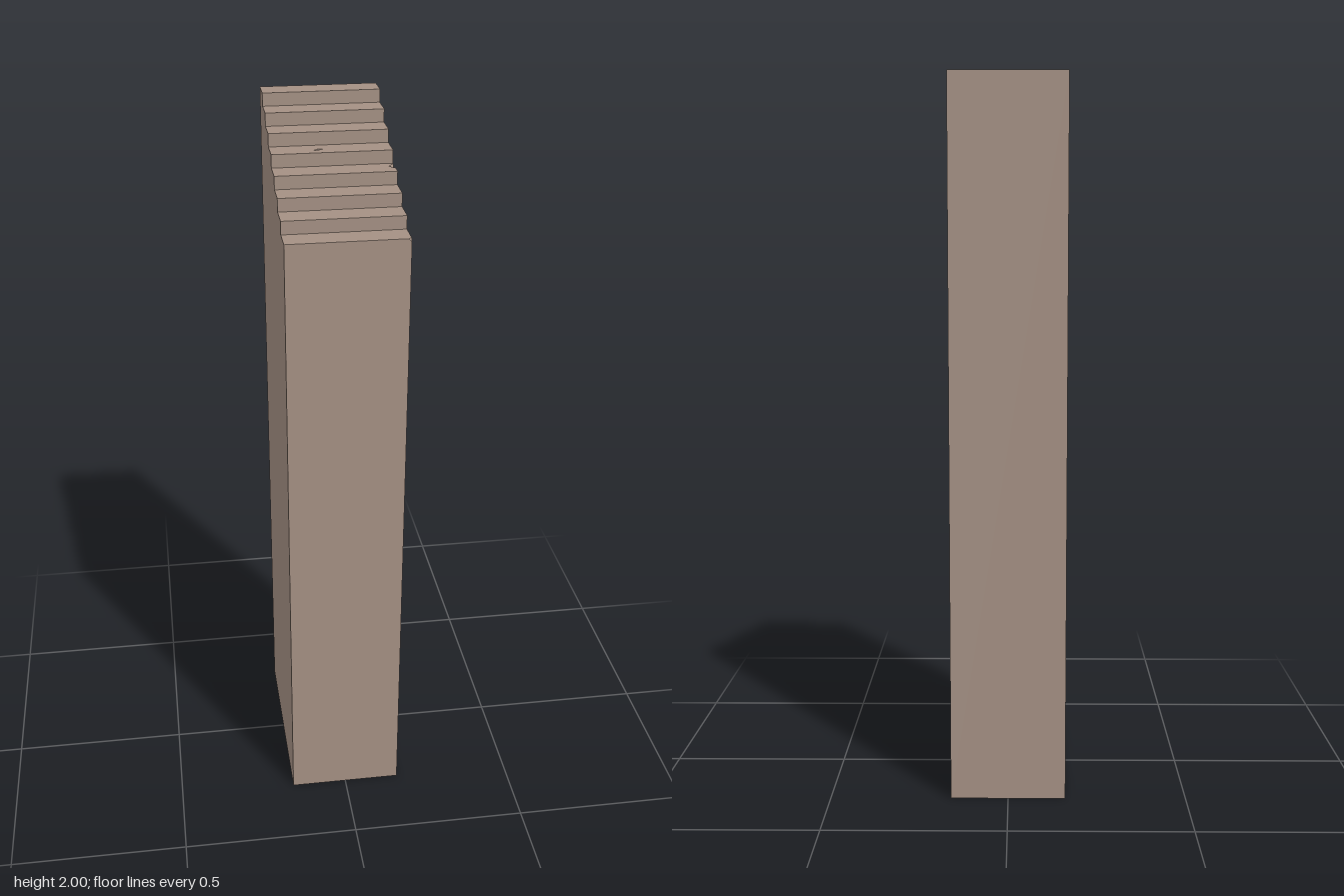
import * as THREE from 'three';

const X = 0.161, Z = 0.286, STEPS = 8, LOW = 1.75, TOP = 2;
const RUN = (2 * Z) / STEPS, RISE = (TOP - LOW) / (STEPS - 1);
const stepHeight = i => LOW + RISE * i;
const stepFront = i => Z - RUN * i;

export function createModel() {
  const model = new THREE.Group();
  const stone = new THREE.MeshStandardMaterial({ color: 0xa49083, flatShading: true });

  const add = (name, geometry) => {
    geometry.computeVertexNormals();
    const mesh = new THREE.Mesh(geometry, stone);
    mesh.name = name;
    model.add(mesh);
  };

  // Flat outline placed in space by a rule (a, b) -> [x, y, z]
  const panel = (name, outline, place, hole) => {
    const toVectors = pts => pts.map(p => new THREE.Vector2(...p));
    const shape = new THREE.Shape(toVectors(outline));
    if (hole) shape.holes.push(new THREE.Path(toVectors(hole)));
    const geometry = new THREE.ShapeGeometry(shape);
    const pos = geometry.attributes.position;
    for (let i = 0; i < pos.count; i++) pos.setXYZ(i, ...place(pos.getX(i), pos.getY(i)));
    add(name, geometry);
  };

  // Small broken faces, each a triangle of three points
  const facets = (name, triangles) => {
    const points = triangles.flat().map(p => new THREE.Vector3(...p));
    add(name, new THREE.BufferGeometry().setFromPoints(points));
  };

  const rect = (a0, b0, a1, b1) => [[a0, b0], [a1, b0], [a1, b1], [a0, b1]];

  // Chip corners: one on the lowest front corner, one on the edge of a middle tread
  const h0 = stepHeight(0), h3 = stepHeight(3);
  const corner = { top: [0.152, h0, Z], side: [X, h0, Z - 0.007], low: [X, h0 - 0.008, Z] };
  const edge = {
    back: [X, h3, 0.002], inner: [0.146, h3, 0.025],
    front: [X, h3, 0.043], low: [X, h3 - 0.012, 0.022],
  };

  // Small gouge in the tread above, as (x, -z)
  const gouge = [[-0.048, 0.022], [-0.022, 0.031], [-0.026, 0.037], [-0.038, 0.033]];

  // Treads and risers
  for (let i = 0; i < STEPS; i++) {
    const y = stepHeight(i), z = stepFront(i);
    let outline = rect(-X, -z, X, -z + RUN);
    if (i === 0) {
      outline = [[-X, -Z], [corner.top[0], -Z], [X, -corner.side[2]], [X, -Z + RUN], [-X, -Z + RUN]];
    }
    if (i === 3) {
      outline.splice(2, 0, ...[edge.front, edge.inner, edge.back].map(p => [p[0], -p[2]]));
    }
    panel('tread', outline, (a, b) => [a, y, -b], i === 4 ? gouge : null);
    if (i > 0) panel('riser', rect(-X, stepHeight(i - 1), X, y), (a, b) => [a, b, z]);
  }

  // Stepped sides, as (-z, y) on the right edge and mirrored on the other
  const profile = chipped => {
    const pts = [[Z, 0], [-Z, 0]];
    for (let i = 0; i < STEPS; i++) {
      const y = stepHeight(i), a = -stepFront(i);
      if (chipped && i === 0) pts.push([a, corner.low[1]], [-corner.side[2], y]);
      else pts.push([a, y]);
      if (chipped && i === 3) {
        for (const p of [edge.front, edge.low, edge.back]) pts.push([-p[2], p[1]]);
      }
      pts.push([a + RUN, y]);
    }
    return pts;
  };
  panel('leftSide', profile(true), (a, b) => [X, b, -a]);
  panel('rightSide', profile(false).map(([a, b]) => [-a, b]), (a, b) => [-X, b, a]);

  // Front, back and underside
  panel('front', [[-X, 0], [X, 0], [X, corner.low[1]], [corner.top[0], h0], [-X, h0]],
    (a, b) => [a, b, Z]);
  panel('back', rect(-X, 0, X, TOP), (a, b) => [-a, b, -Z]);
  panel('underside', rect(-X, -Z, X, Z), (a, b) => [a, 0, b]);

  // Broken surfaces inside the chips and the gouge
  facets('cornerChip', [[corner.top, corner.low, corner.side]]);
  facets('edgeChip', [[edge.back, edge.inner, edge.low], [edge.inner, edge.front, edge.low]]);
  const h4 = stepHeight(4), pit = [-0.034, h4 - 0.01, -0.031];
  const rim = gouge.map(([a, b]) => [a, h4, -b]);
  facets('treadGouge', rim.map((p, i) => [pit, p, rim[(i + 1) % rim.length]]));

  return model;
}
